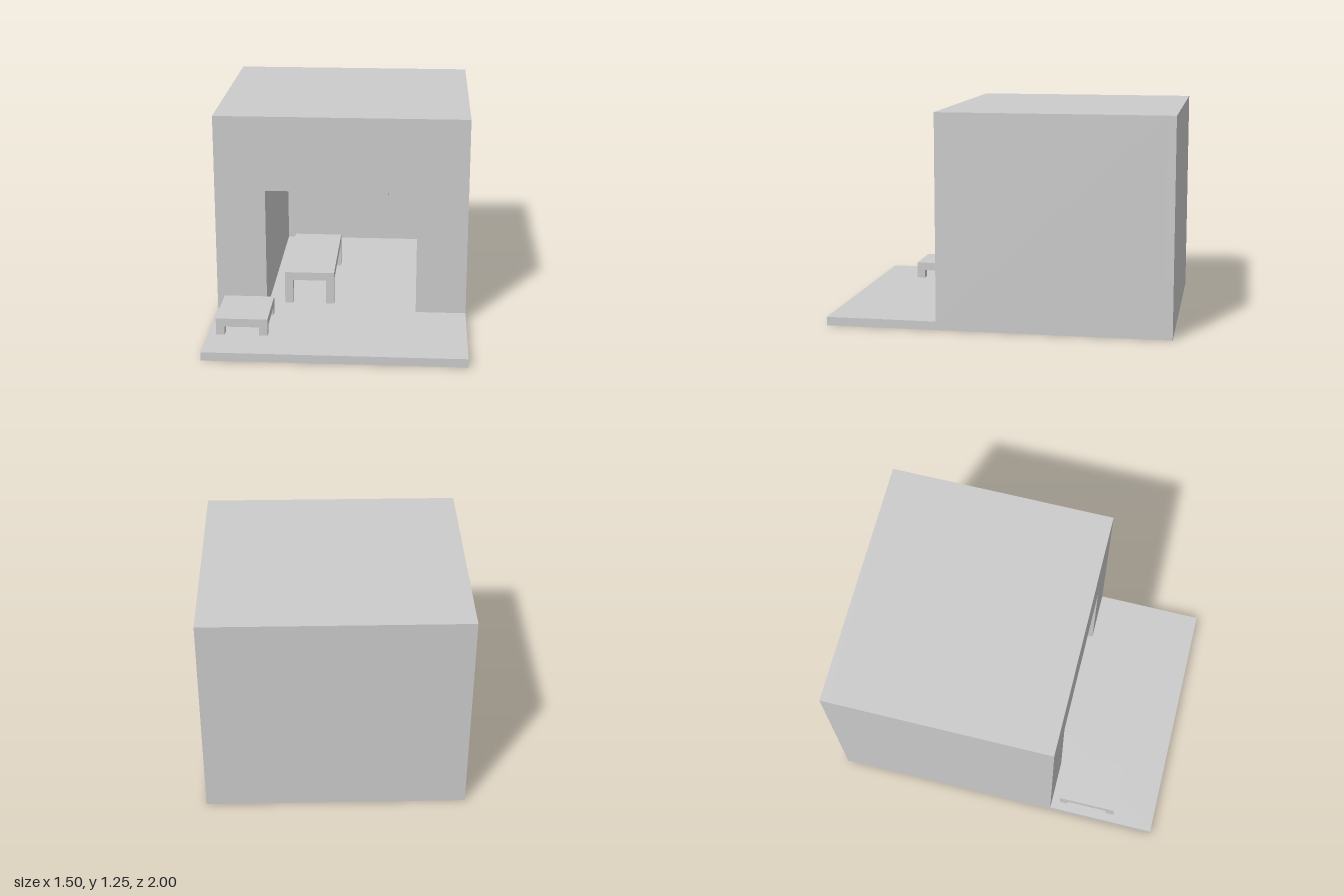
import * as THREE from 'three';

const material = new THREE.MeshStandardMaterial({ color: 0xcccccc, flatShading: true });

// Box given by its min and max along each axis
function box(name, [x0, x1], [y0, y1], [z0, z1]) {
  const mesh = new THREE.Mesh(new THREE.BoxGeometry(x1 - x0, y1 - y0, z1 - z0), material);
  mesh.position.set((x0 + x1) / 2, (y0 + y1) / 2, (z0 + z1) / 2);
  mesh.name = name;
  return mesh;
}

// Table with a slab top and four square corner legs
function table(name, [x0, x1], [y0, y1], [z0, z1], t = 0.05) {
  const group = new THREE.Group();
  group.name = name;
  group.add(box('tableTop', [x0, x1], [y1 - t, y1], [z0, z1]));
  for (const x of [x0, x1 - t]) {
    for (const z of [z0, z1 - t]) {
      group.add(box('tableLeg', [x, x + t], [y0, y1 - t], [z, z + t]));
    }
  }
  return group;
}

export function createModel() {
  const model = new THREE.Group();
  model.name = 'garage';
  const floorY = 0.05;

  // Ground slab under the building and forecourt
  model.add(box('floorSlab', [-0.75, 0.75], [0, floorY], [-1, 1]));

  // Thick side walls and roof around a full-depth doorway
  const section = new THREE.Shape([
    [-0.75, floorY], [-0.45, floorY], [-0.45, 0.8], [0.45, 0.8],
    [0.45, floorY], [0.75, floorY], [0.75, 1.25], [-0.75, 1.25],
  ].map(([x, y]) => new THREE.Vector2(x, y)));
  const shell = new THREE.Mesh(
    new THREE.ExtrudeGeometry(section, { depth: 1.3, bevelEnabled: false }), material);
  shell.position.z = -0.95;
  shell.name = 'wallsAndRoof';
  model.add(shell);
  model.add(box('backWall', [-0.75, 0.75], [floorY, 1.25], [-1, -0.95]));

  // Workbench inside, low table outside
  model.add(table('workbench', [-0.35, -0.05], [floorY, 0.25], [-0.45, 0.25]));
  model.add(table('lowTable', [-0.7, -0.4], [floorY, 0.15], [0.4, 0.75]));

  // Wall shelf and the boxes standing on it
  model.add(box('shelf', [-0.35, 0.25], [0.4, 0.45], [-0.95, -0.75]));
  const items = [[-0.3, -0.2, 0.55], [-0.15, -0.1, 0.55], [-0.05, 0, 0.5], [0.05, 0.1, 0.55]];
  for (const [x0, x1, top] of items) {
    model.add(box('shelfItem', [x0, x1], [0.45, top], [-0.9, -0.8]));
  }
  return model;
}
